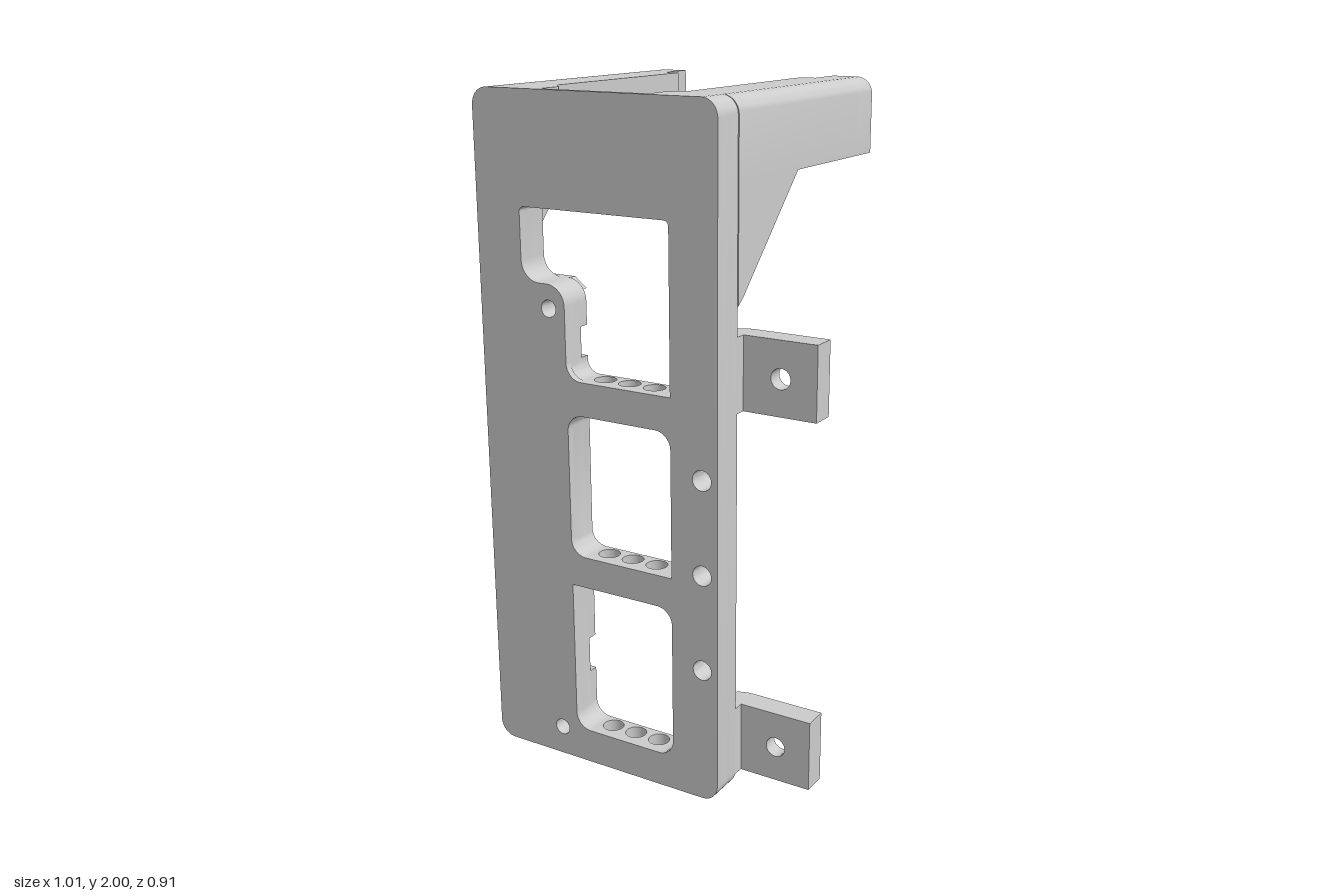
import * as THREE from 'three';
import { toCreasedNormals } from 'three/addons/utils/BufferGeometryUtils.js';

const grey = new THREE.MeshStandardMaterial({ color: 0xcccccc });

// Closed outline from [x, y, cornerRadius] points, with round holes [x, y, r]
function outline(points, holes = []) {
  const shape = new THREE.Shape();
  const n = points.length, k = 0.5523;
  points.forEach(([x, y, r = 0], i) => {
    const a = points[(i + n - 1) % n], b = points[(i + 1) % n];
    const toward = (q, d) => {
      const l = Math.hypot(q[0] - x, q[1] - y);
      return [x + (q[0] - x) / l * d, y + (q[1] - y) / l * d];
    };
    const s = toward(a, r);
    if (i === 0) shape.moveTo(...s); else shape.lineTo(...s);
    if (r) shape.bezierCurveTo(...toward(a, r * (1 - k)), ...toward(b, r * (1 - k)), ...toward(b, r));
  });
  shape.closePath();
  for (const [x, y, r] of holes) shape.holes.push(new THREE.Path().absarc(x, y, r, 0, Math.PI * 2, true));
  return shape;
}

const rect = (x0, y0, x1, y1) => [[x0, y0], [x1, y0], [x1, y1], [x0, y1]];

export function createModel() {
  const model = new THREE.Group();

  function add(name, geometry) {
    const mesh = new THREE.Mesh(toCreasedNormals(geometry, 0.5), grey);
    mesh.name = name;
    model.add(mesh);
    return mesh;
  }
  const extrude = (shape, depth) =>
    new THREE.ExtrudeGeometry(shape, { depth, bevelEnabled: false, curveSegments: 10 });
  // Extrude an x/y outline between two z positions
  const alongZ = (name, shape, z0, z1) => add(name, extrude(shape, z1 - z0).translate(0, 0, z0));
  // Extrude an x/z outline between two heights
  const alongY = (name, shape, y0, y1) => add(name, extrude(shape, y1 - y0).rotateX(Math.PI / 2).translate(0, y1, 0));
  const box = (name, x0, x1, y0, y1, z0, z1) =>
    add(name, new THREE.BoxGeometry(x1 - x0, y1 - y0, z1 - z0)
      .translate((x0 + x1) / 2, (y0 + y1) / 2, (z0 + z1) / 2));

  // Front skin with the three windows
  const screws = [[-0.27, 1.4, 0.025], [-0.27, 0.09, 0.025], [0.23, 0.98, 0.03], [0.23, 0.7, 0.03], [0.23, 0.41, 0.03]];
  const skin = outline([[-0.51, 0, 0.05], [0.28, 0, 0.05], [0.28, 2, 0.05], [-0.51, 2, 0.05]], screws);
  const windows = [
    [[-0.215, 0.105, 0.05], [0.13, 0.105, 0.05], [0.13, 0.575, 0.05], [-0.215, 0.575]],
    [[-0.215, 0.67, 0.05], [0.13, 0.67], [0.13, 1.1, 0.05], [-0.215, 1.1, 0.05]],
    [[-0.215, 1.2, 0.05], [0.13, 1.2], [0.13, 1.68, 0.015], [-0.36, 1.68, 0.015], [-0.36, 1.47, 0.06], [-0.215, 1.47, 0.06]],
  ];
  for (const w of windows) skin.holes.push(outline(w));
  alongZ('frontSkin', skin, 0.433, 0.455);

  // Rear frame: open side channel on the right, top pocket, gaps for the drilled bars
  function frame(grooves) {
    const notch = (y0, y1) => grooves ? [[-0.215, y0], [-0.36, y0], [-0.36, y1], [-0.215, y1]] : [];
    return outline([
      [-0.51, 0, 0.049], [-0.165, 0], [-0.165, 0.105], [-0.215, 0.105, 0.049],
      ...notch(0.26, 0.37),
      [-0.215, 0.575], [-0.165, 0.575], [-0.165, 0.67], [-0.215, 0.67, 0.049],
      [-0.215, 1.1, 0.049], [-0.165, 1.1], [-0.165, 1.2], [-0.215, 1.2, 0.04],
      ...notch(1.25, 1.34),
      [-0.215, 1.47, 0.06], [-0.36, 1.47, 0.06], [-0.36, 1.68, 0.015], [0.13, 1.68, 0.015],
      [0.13, 1.2], [0.08, 1.2], [0.08, 1.1], [0.13, 1.1, 0.049],
      [0.13, 0.67], [0.08, 0.67], [0.08, 0.575], [0.13, 0.575, 0.049],
      [0.13, 0.105, 0.049], [0.08, 0.105], [0.08, 0], [0.28, 0, 0.05],
      [0.28, 2, 0.05], [0.06, 2], [0.06, 1.74], [-0.29, 1.74], [-0.29, 2], [-0.51, 2, 0.05],
      [-0.51, 1.38], [-0.386, 1.38], [-0.386, 0.06], [-0.51, 0.06],
    ], screws);
  }
  alongZ('rearFrame', frame(false), 0.38, 0.433);
  alongZ('groovedRearFrame', frame(true), 0.35, 0.38);

  // Cross bars, each with three vertical holes
  const barHoles = [-0.125, -0.0425, 0.04].map(x => [x, 0.3915, 0.032]);
  for (const [y0, y1] of [[0, 0.105], [0.575, 0.67], [1.1, 1.2]])
    alongY('crossBar', outline(rect(-0.165, 0.35, 0.08, 0.433), barHoles), y0, y1);

  // Shelf behind the top window
  box('topShelf', -0.34, 0.115, 1.68, 1.74, 0.3, 0.35);

  // Corner lips around the right-hand screws
  alongZ('lowerLip', outline([[-0.51, 0, 0.03], [-0.215, 0], [-0.215, 0.035], [-0.475, 0.035], [-0.475, 0.1], [-0.51, 0.1]]), 0.325, 0.352);
  alongZ('upperLip', outline([[-0.51, 1.38], [-0.475, 1.38], [-0.475, 1.44], [-0.23, 1.44], [-0.27, 1.47], [-0.51, 1.47]]), 0.325, 0.352);

  // Top arms with ribs, bored ends and gussets, mirrored about the plate's middle
  for (const s of [-1, 1]) {
    const X = d => -0.1135 + s * d;
    const map = pts => pts.map(([d, ...rest]) => [X(d), ...rest]);
    const profile = map([[0.3965, 1.775], [0.265, 1.775], [0.265, 2], [0.3965, 2, 0.05]]);
    alongZ('arm', outline(profile), -0.36, 0.352);
    alongZ('armEnd', outline(profile, [[X(0.33), 1.875, 0.04]]), -0.455, -0.36);
    const [x0, x1] = [X(0.265), X(0.2175)].sort((a, b) => a - b);
    box('armRib', x0, x1, 1.84, 2, -0.335, 0.352);
    alongY('armCornerWedge', outline(map([[0.2175, 0.3], [0.175, 0.35], [0.2175, 0.35]])), 1.74, 2);
    // Gusset drawn in z/y, then turned to lie along the outer face
    const gusset = extrude(outline([[-0.352, 1.78], [-0.352, 1.45], [-0.325, 1.47], [-0.02, 1.775], [-0.02, 1.78]]), 0.035);
    gusset.rotateY(Math.PI / 2).translate(s > 0 ? X(0.3965) - 0.035 : X(0.3965), 0, 0);
    add('gusset', gusset);
  }

  // Side tabs with counterbored holes and a curved root
  for (const y of [0.04, 1.15]) {
    const face = rect(0.28, y, 0.505, y + 0.215);
    const cy = y + 0.107;
    alongZ('tabCounterbore', outline(face, [[0.395, cy, 0.057]]), 0.245, 0.27);
    alongZ('tab', outline(face, [[0.395, cy, 0.03]]), 0.27, 0.318);
    const root = new THREE.Shape();
    root.moveTo(0.28, 0.245);
    root.lineTo(0.28, 0.352);
    root.lineTo(0.195, 0.352);
    root.bezierCurveTo(0.195, 0.29, 0.22, 0.245, 0.28, 0.245);
    alongY('tabRoot', root, y, y + 0.215);
  }

  return model;
}
